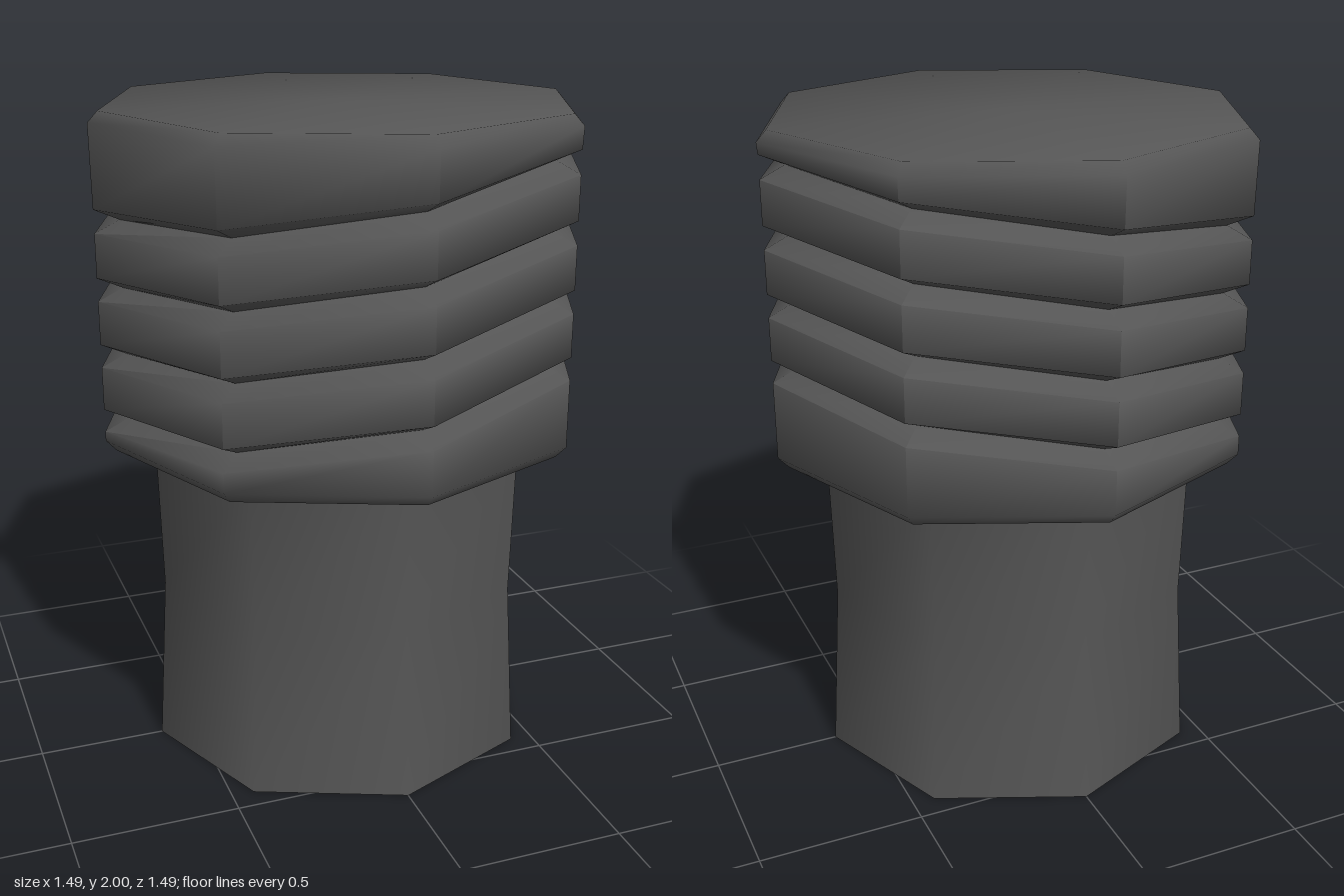
import * as THREE from 'three';
import { toCreasedNormals } from 'three/addons/utils/BufferGeometryUtils.js';

const SIDES = 8;

// Octagonal loft through rings [radius, height, tilt]; tilt raises +x and lowers -x
function loft(rings) {
  const positions = [];
  const point = ([r, y, tilt = 0], j) => {
    const a = (j % SIDES) * Math.PI * 2 / SIDES;
    return [r * Math.cos(a), y + tilt * Math.cos(a), r * Math.sin(a)];
  };
  for (let i = 0; i < rings.length - 1; i++) {
    const lower = rings[i], upper = rings[i + 1];
    for (let j = 0; j < SIDES; j++) {
      const a = point(lower, j), b = point(lower, j + 1);
      const c = point(upper, j), d = point(upper, j + 1);
      if (lower[0] > 0) positions.push(...a, ...c, ...b);
      if (upper[0] > 0) positions.push(...c, ...d, ...b);
    }
  }
  const geometry = new THREE.BufferGeometry();
  geometry.setAttribute('position', new THREE.Float32BufferAttribute(positions, 3));
  return toCreasedNormals(geometry, 1.2);
}

export function createModel() {
  const group = new THREE.Group();
  group.name = 'ribbedPlug';
  const darkGrey = new THREE.MeshStandardMaterial({ color: 0x555555 });
  darkGrey.name = 'darkGrey';

  const add = (name, rings) => {
    const mesh = new THREE.Mesh(loft(rings), darkGrey);
    mesh.name = name;
    group.add(mesh);
  };

  // Waisted shank with closed ends
  add('shank', [[0, 0], [0.612, 0], [0.58, 0.53], [0.592, 1.0], [0, 1.0]]);

  // Ribbed head: bevelled ends and four slanted V grooves
  const tilt = 0.105;
  const head = [[0, 0.99], [0.71, 0.99], [0.742, 1.025]];
  for (let i = 0; i < 4; i++) {
    const y = 1.195 + i * 0.2;
    head.push([0.742, y - 0.036, tilt], [0.667, y, tilt], [0.742, y + 0.034, tilt]);
  }
  head.push([0.745, 1.968], [0.715, 2], [0, 2]);
  add('ribbedHead', head);

  return group;
}
